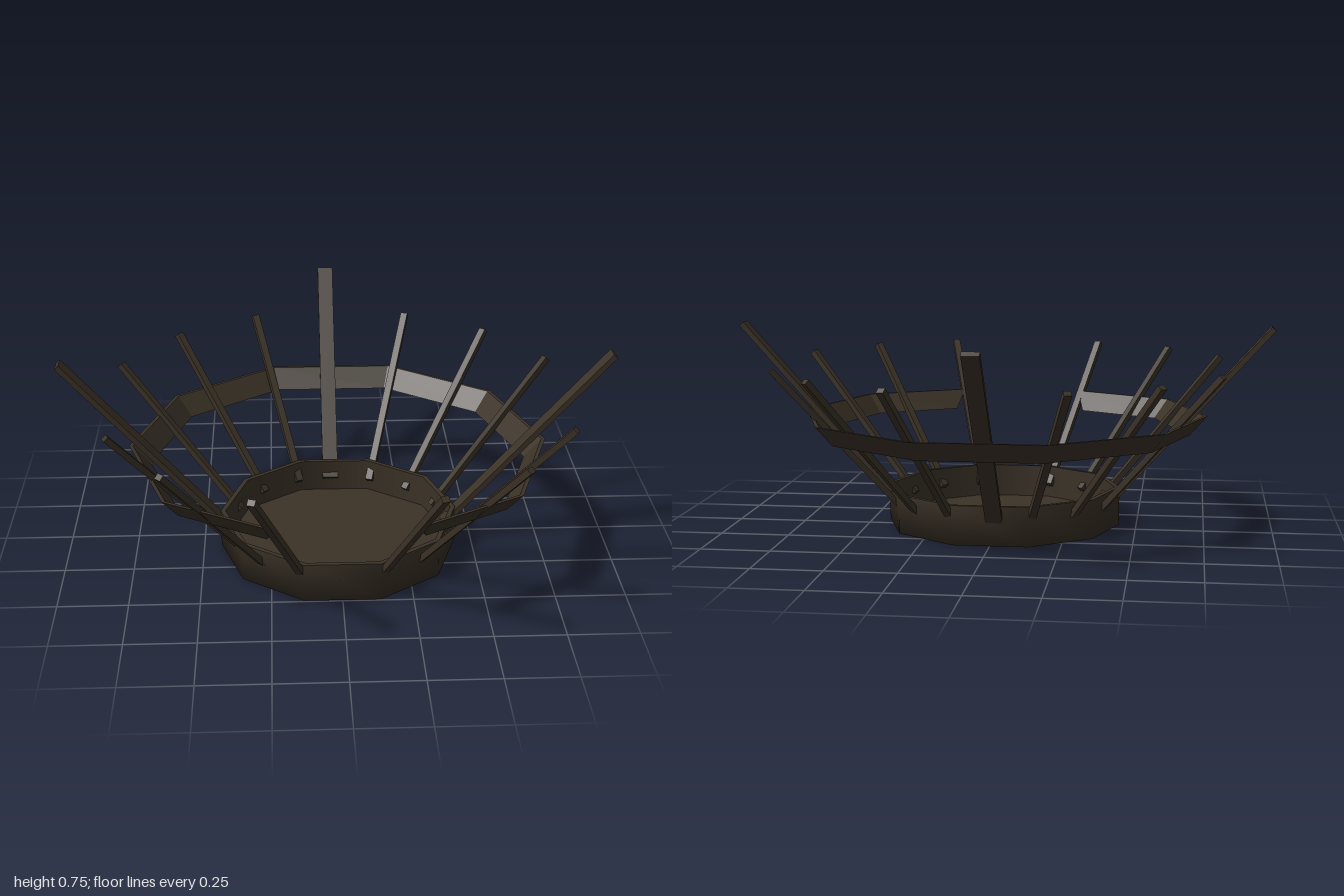
import * as THREE from 'three';

export function createModel() {
  const model = new THREE.Group();
  model.name = 'slattedBasket';
  const wood = new THREE.MeshStandardMaterial({ color: 0x3b3227 });
  wood.name = 'darkWood';
  wood.side = THREE.DoubleSide;

  // everything radiates from the axis of the base
  const hub = new THREE.Group();
  hub.name = 'hub';
  hub.position.z = 0.08;
  model.add(hub);

  const add = (name, geometry) => {
    const mesh = new THREE.Mesh(geometry, wood);
    mesh.name = name;
    hub.add(mesh);
    return mesh;
  };

  // ten-sided dish: soft outer shell, flat rim, inner wall and floor
  const R = 0.436, r = 0.418, H = 0.143, floorY = 0.02;
  const lathe = (name, pts) => add(name, new THREE.LatheGeometry(
    pts.map(p => new THREE.Vector2(p[0], p[1])), 10, Math.PI / 2));
  lathe('dishShell', [[0, 0], [R, 0], [R, H]]);
  lathe('dishRim', [[R, H], [r, H]]);
  lathe('dishInnerWall', [[r, H], [r, floorY]]);
  lathe('dishFloor', [[r, floorY], [0, floorY]]);

  // a leaning slat; angle 0 points to the front, 90 to +x
  function slat(name, degrees, tipR, tipY, width, thick) {
    const baseR = 0.392, baseY = 0.073;
    const dr = tipR - baseR, dy = tipY - baseY;
    const pivot = new THREE.Group();
    pivot.name = name;
    pivot.rotation.y = THREE.MathUtils.degToRad(degrees);
    const board = new THREE.Mesh(new THREE.BoxGeometry(width, Math.hypot(dr, dy), thick), wood);
    board.name = name + 'Board';
    board.position.set(0, (baseY + tipY) / 2, (baseR + tipR) / 2);
    board.rotation.x = Math.atan2(dr, dy);
    pivot.add(board);
    hub.add(pivot);
    return pivot;
  }

  // thin slats, three in each quarter
  for (const a of [20.5, 44, 68, 112, 136, 159.5]) {
    slat('leftThinSlat', a, 0.867, 0.602, 0.027, 0.022);
    slat('rightThinSlat', -a, 0.867, 0.602, 0.027, 0.022);
  }

  // wide slats at both sides and the back
  slat('leftWideSlat', 90, 0.992, 0.743, 0.06, 0.02).position.z = -0.015;
  slat('rightWideSlat', -90, 0.992, 0.743, 0.06, 0.02).position.z = 0.01;
  slat('backWideSlat', 180, 0.982, 0.743, 0.06, 0.02).position.x = -0.015;

  // sloping band around the slats, open at the front
  const top = [[-0.235, 0.66]], low = [[-0.26, 0.585]];
  for (let k = 0; k < 8; k++) {
    const a = THREE.MathUtils.degToRad(-54 - 36 * k);
    top.push([Math.sin(a) * 0.758, Math.cos(a) * 0.758]);
    low.push([Math.sin(a) * 0.695, Math.cos(a) * 0.695]);
  }
  top.push([0.245, 0.655]);
  low.push([0.27, 0.58]);
  const pos = [];
  const quad = (a, b, c, d) => pos.push(...a, ...b, ...c, ...a, ...c, ...d);
  // cross-section corners: outer low, outer top, inner top, inner low
  const section = i => {
    const s = 0.982, [tx, tz] = top[i], [lx, lz] = low[i];
    return [[lx, 0.345, lz], [tx, 0.417, tz], [tx * s, 0.417, tz * s], [lx * s, 0.345, lz * s]];
  };
  for (let i = 0; i < top.length - 1; i++) {
    const A = section(i), B = section(i + 1);
    for (let j = 0; j < 4; j++) {
      const k = (j + 1) % 4;
      quad(A[j], A[k], B[k], B[j]);
    }
  }
  const first = section(0), last = section(top.length - 1);
  quad(first[0], first[3], first[2], first[1]);
  quad(last[0], last[1], last[2], last[3]);
  const band = new THREE.BufferGeometry();
  band.setAttribute('position', new THREE.Float32BufferAttribute(pos, 3));
  band.computeVertexNormals();
  // wind the faces outward
  const p = band.attributes.position, v = new THREE.Vector3().fromBufferAttribute(p, 0);
  const n = new THREE.Vector3().fromBufferAttribute(band.attributes.normal, 0);
  if (n.x * v.x + n.z * v.z < 0) {
    band.setIndex(Array.from({ length: p.count }, (_, i) => i - (i % 3) + 2 - (i % 3)));
    band.computeVertexNormals();
  }
  add('band', band);

  return model;
}
